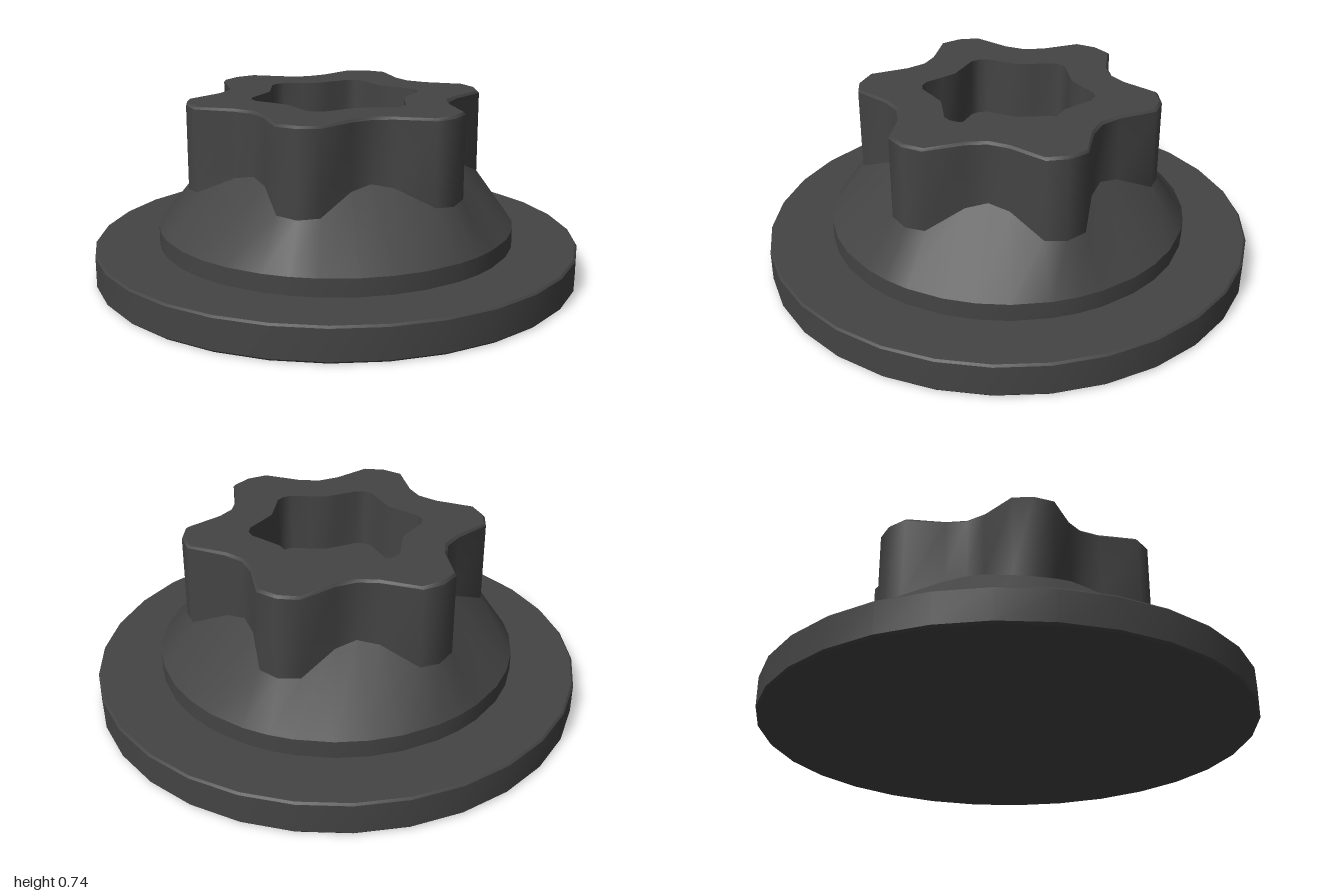
import * as THREE from 'three';

const material = new THREE.MeshStandardMaterial({ color: 0x444444 });

// Angles (degrees) around the axis: even steps, or steps that follow six lobes
const evenAngles = Array.from({ length: 30 }, (_, i) => i * 12);
const lobeAngles = (offsets) => {
  const out = [];
  for (let lobe = 0; lobe < 6; lobe++) for (const o of offsets) out.push(lobe * 60 + o);
  return out;
};

// A closed ring of points; radius and height may be lists repeating per lobe
function ring(angles, radius, height) {
  const pick = (v, i) => (Array.isArray(v) ? v[i % v.length] : v);
  return angles.map((deg, i) => {
    const a = THREE.MathUtils.degToRad(deg);
    const r = pick(radius, i);
    return new THREE.Vector3(r * Math.cos(a), pick(height, i), r * Math.sin(a));
  });
}

// Skins successive rings; each band is smooth around and sharp at its edges
function loft(name, rings) {
  const positions = [], index = [];
  for (let k = 0; k < rings.length - 1; k++) {
    const n = rings[k].length, base = positions.length / 3;
    for (const p of [...rings[k], ...rings[k + 1]]) positions.push(p.x, p.y, p.z);
    for (let i = 0; i < n; i++) {
      const a = base + i, b = base + ((i + 1) % n);
      index.push(a, a + n, b, b, a + n, b + n);
    }
  }
  const geometry = new THREE.BufferGeometry();
  geometry.setAttribute('position', new THREE.Float32BufferAttribute(positions, 3));
  geometry.setIndex(index);
  geometry.computeVertexNormals();
  const mesh = new THREE.Mesh(geometry, material);
  mesh.name = name;
  return mesh;
}

export function createModel() {
  const group = new THREE.Group();
  group.name = 'flangedLobeBolt';

  // Flange disc with slightly eased edges
  const disc = (r, y) => ring(evenAngles, r, y);
  group.add(loft('flange', [
    disc(0, 0), disc(0.992, 0), disc(1, 0.008), disc(1, 0.13), disc(0.992, 0.138), disc(0.7, 0.138),
  ]));

  // Six-lobed outlines: outer head and inner socket
  const outer = lobeAngles([-20, -8, 0, 8, 20, 30]);
  const outerR = [0.492, 0.603, 0.616, 0.603, 0.492, 0.464];
  const inner = lobeAngles([-18, -6, 0, 6, 18, 30]);
  const innerR = [0.302, 0.344, 0.352, 0.344, 0.302, 0.282];
  const inset = outerR.map((r) => r - 0.01);

  // Collar and shoulder rising to meet the lobes, higher in the valleys
  const meetY = outerR.map((r) => 0.48 - ((r - 0.464) / 0.152) * 0.095);
  const meet = ring(outer, outerR, meetY);
  group.add(loft('shoulder', [ring(outer, 0.735, 0.13), ring(outer, 0.735, 0.21), meet]));

  // Lobed head wall and top face
  const top = 0.737;
  const rim = ring(inner, innerR, top);
  group.add(loft('head', [meet, ring(outer, outerR, top - 0.01), ring(outer, inset, top), rim]));

  // Lobed socket wall and floor
  const floorY = 0.49;
  group.add(loft('socket', [rim, ring(inner, innerR, floorY), ring(inner, 0, floorY)]));

  return group;
}
